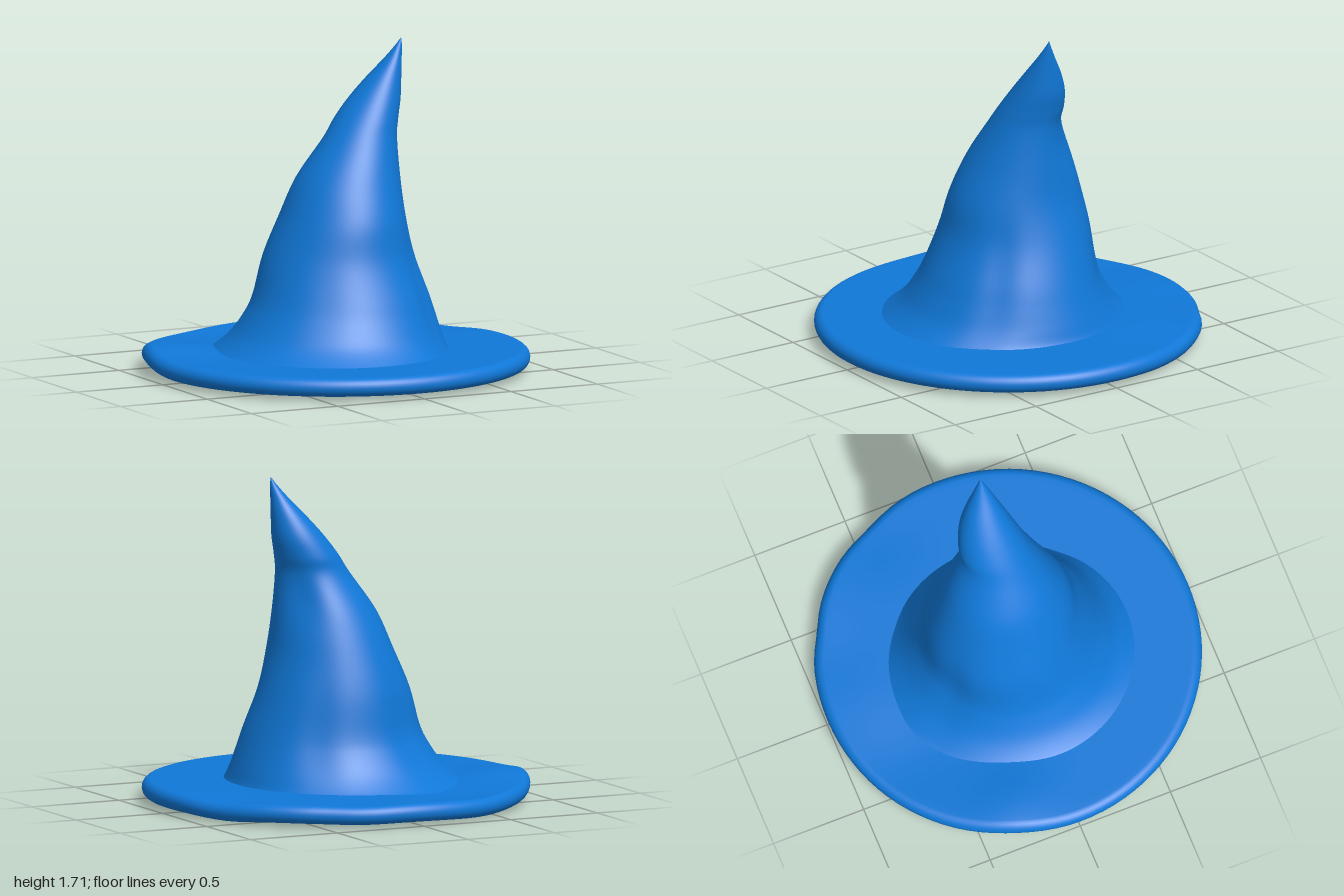
import * as THREE from 'three';

const SEG = 96;

// Skins a list of rings; each ring is a function angle -> [x, y, z]
function loft(rings) {
  const pos = [], index = [];
  rings.forEach((ring, r) => {
    for (let i = 0; i < SEG; i++) {
      pos.push(...ring((i / SEG) * Math.PI * 2));
      if (r === 0) continue;
      const j = (i + 1) % SEG, a = (r - 1) * SEG, b = r * SEG;
      index.push(a + i, b + i, a + j, a + j, b + i, b + j);
    }
  });
  const g = new THREE.BufferGeometry();
  g.setAttribute('position', new THREE.Float32BufferAttribute(pos, 3));
  g.setIndex(index);
  g.computeVertexNormals();
  return g;
}

const bump = (d, w) => Math.exp(-(d * d) / (w * w));
const spot = (x, z, cx, cz, w) => bump(Math.hypot(x - cx, z - cz), w);

// Crown outline: height, x right, x left, z back, z front
const ROWS = [
  [0.08, -0.72, 0.60, -0.70, 0.71],
  [0.12, -0.64, 0.565, -0.63, 0.645],
  [0.20, -0.55, 0.54, -0.545, 0.56],
  [0.30, -0.48, 0.51, -0.48, 0.50],
  [0.40, -0.43, 0.48, -0.445, 0.455],
  [0.60, -0.365, 0.415, -0.415, 0.375],
  [0.80, -0.28, 0.365, -0.36, 0.335],
  [1.00, -0.19, 0.345, -0.29, 0.26],
  [1.20, -0.05, 0.335, -0.20, 0.18],
  [1.30, 0.02, 0.35, -0.19, 0.145],
  [1.40, 0.10, 0.37, -0.165, 0.11],
  [1.50, 0.19, 0.376, -0.12, 0.075],
  [1.60, 0.285, 0.378, -0.06, 0.04],
  [1.67, 0.345, 0.38, -0.02, 0.015],
  [1.71, 0.375, 0.376, -0.001, 0.001],
];
const curve = (i, j) => new THREE.CatmullRomCurve3(
  ROWS.map(r => new THREE.Vector3(r[0], r[i], r[j])), false, 'catmullrom');
const xCurve = curve(1, 2), zCurve = curve(3, 4);

// Crown ring at t, drawn in by a wall thickness, with soft folds in the cloth
function crownRing(t, inset) {
  const px = xCurve.getPoint(t), pz = zCurve.getPoint(t), y = px.x;
  const cx = (px.y + px.z) / 2, rx = Math.max((px.z - px.y) / 2 - inset, 0.0005);
  const cz = (pz.y + pz.z) / 2, rz = Math.max((pz.z - pz.y) / 2 - inset, 0.0005);
  return a => {
    const c = Math.cos(a), s = Math.sin(a);
    const folds = bump(y - 0.42, 0.3) * (
      0.035 * bump(a - 0.75, 0.2) + 0.03 * bump(a - 5.35, 0.22) +
      0.03 * bump(a - 4.2, 0.2) + 0.012 * bump(a - 2.2, 0.25)) +
      bump(y - 1.1, 0.16) * 0.09 * bump(a - 5.6, 0.45);
    const k = 1 - folds;
    return [cx + rx * c * k, y, cz + rz * s * k];
  };
}

// Brim ring, with a gentle lift and sag at the back
function brimRing(radius, y, cx = 0) {
  return a => {
    const edge = 1 - 0.012 * (bump(a - 5.2, 0.12) + bump(a - 5.85, 0.15)) * radius;
    const x = cx + radius * Math.cos(a) * edge, z = radius * Math.sin(a) * edge;
    const dy = 0.036 * spot(x, z, -0.82, -0.3, 0.22) - 0.022 * spot(x, z, -0.35, -0.72, 0.28)
      - 0.014 * spot(x, z, 0.85, -0.42, 0.2) - 0.008 * spot(x, z, 0.3, -0.85, 0.2);
    return [x, y + dy, z];
  };
}

export function createModel() {
  const blue = new THREE.MeshStandardMaterial({ color: 0x1078d8 });
  blue.name = 'blue felt';
  const hat = new THREE.Group();
  hat.name = 'pointedHat';
  const add = (name, rings) => {
    const mesh = new THREE.Mesh(loft(rings), blue);
    mesh.name = name;
    hat.add(mesh);
  };

  // Tall leaning crown
  const crown = [];
  for (let i = 0; i <= 84; i++) crown.push(crownRing(i / 84, 0));
  add('crown', crown);

  // Flat brim with a rounded rim
  const brim = [];
  for (let r = 0.66; r < 0.94; r += 0.04) brim.push(brimRing(r, 0.024));
  for (let i = 0; i <= 14; i++) {
    const a = -Math.PI / 2 + (i / 14) * Math.PI;
    brim.push(brimRing(0.952 + 0.048 * Math.cos(a), 0.072 + 0.048 * Math.sin(a)));
  }
  for (let r = 0.92; r > 0.5; r -= 0.04) brim.push(brimRing(r, 0.12));
  add('brim', brim);

  // Hollow inside, flaring out to meet the underside of the brim
  const lining = [];
  for (let i = 44; i >= 9; i--) lining.push(crownRing((i / 56), 0.075));
  [[0.475, 0.17], [0.49, 0.12], [0.515, 0.075], [0.55, 0.043], [0.6, 0.028], [0.66, 0.024]]
    .forEach(([r, y], i) => lining.push(brimRing(r, y, 0.01 * (1 - i / 5))));
  const top = lining[0](0), far = lining[0](Math.PI);
  lining.unshift(() => [(top[0] + far[0]) / 2, top[1] + 0.04, 0]);
  add('lining', lining);

  return hat;
}
